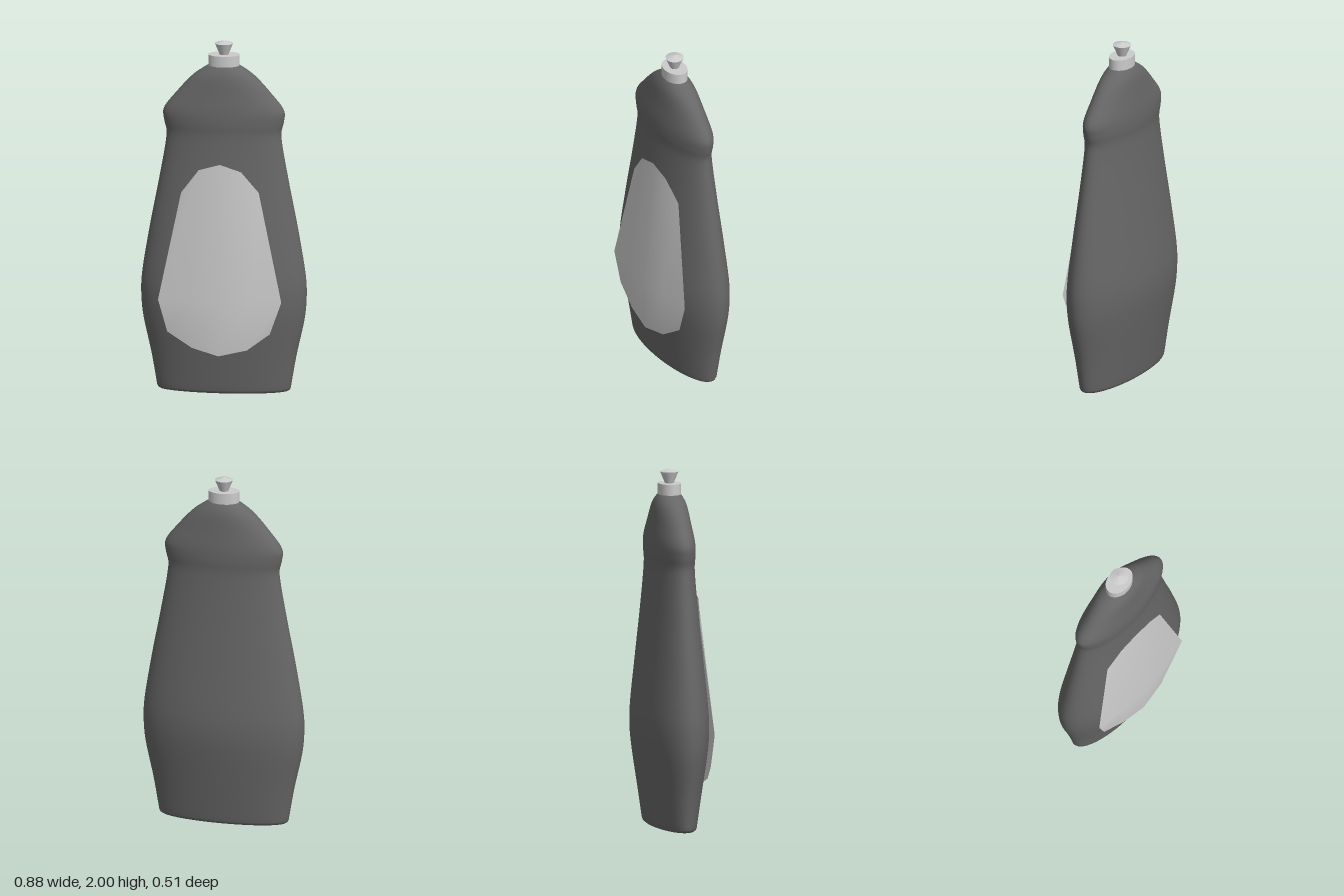
import * as THREE from 'three';
import { mergeVertices } from 'three/addons/utils/BufferGeometryUtils.js';

const TURN = 0.342;      // the bottle stands turned about its upright axis
const CENTRE_Z = -0.02;

const grey = new THREE.MeshStandardMaterial({ color: 0xcccccc });
const labelGrey = new THREE.MeshStandardMaterial({ color: 0xcccccc, side: THREE.DoubleSide });
const darkGrey = new THREE.MeshStandardMaterial({ color: 0x666666 });

function addMesh(parent, name, geometry, material) {
  const mesh = new THREE.Mesh(geometry, material);
  mesh.name = name;
  parent.add(mesh);
  return mesh;
}

// Lathe with an oval section: each ring is [long radius, height, short radius].
function ovalLathe(rings, segments) {
  const profile = rings.map(([a, y]) => new THREE.Vector2(a, y));
  const geometry = new THREE.LatheGeometry(profile, segments);
  const pos = geometry.attributes.position;
  for (let i = 0; i < pos.count; i++) {
    const [a, , b] = rings[i % rings.length];
    if (a > 0) pos.setZ(i, pos.getZ(i) * b / a);
  }
  geometry.deleteAttribute('uv');
  geometry.deleteAttribute('normal');
  const merged = mergeVertices(geometry);
  merged.computeVertexNormals();
  return merged;
}

// Bottle: smooth side curve over a flat base with a small rounded edge
function bottleGeometry() {
  const side = new THREE.CatmullRomCurve3([
    [0.374, 0.02, 0.121], [0.405, 0.2, 0.148], [0.452, 0.42, 0.18],
    [0.462, 0.52, 0.19], [0.461, 0.63, 0.19], [0.42, 0.9, 0.165],
    [0.363, 1.2, 0.136], [0.325, 1.42, 0.119], [0.321, 1.48, 0.117],
    [0.335, 1.54, 0.12], [0.338, 1.6, 0.118], [0.266, 1.7, 0.105],
    [0.174, 1.8, 0.09], [0.12, 1.84, 0.075], [0.075, 1.868, 0.056],
  ].map(p => new THREE.Vector3(...p)));
  const base = [[0, 0, 0], [0.345, 0, 0.1], [0.358, 0.002, 0.108], [0.369, 0.009, 0.117]];
  const rings = side.getPoints(84).map(p => [p.x, p.y, p.z]);
  return ovalLathe([...base, ...rings], 64);
}

// Label: a thin sheet bent round the front, three rows of five points
function labelGeometry() {
  const rows = [
    [[-0.23, 0.36, 0.228], [-0.09, 0.275, 0.2], [0.055, 0.235, 0.165], [0.2, 0.27, 0.1], [0.31, 0.36, 0.035]],
    [[-0.275, 0.545, 0.253], [-0.09, 0.55, 0.222], [0.07, 0.55, 0.18], [0.22, 0.55, 0.11], [0.375, 0.545, 0.022]],
    [[-0.175, 1.15, 0.165], [-0.075, 1.285, 0.147], [0.04, 1.32, 0.114], [0.15, 1.28, 0.071], [0.235, 1.16, 0.021]],
  ];
  const index = [];
  for (let r = 0; r < 2; r++) {
    for (let c = 0; c < 4; c++) {
      const i = r * 5 + c;
      index.push(i, i + 1, i + 6, i, i + 6, i + 5);
    }
  }
  const geometry = new THREE.BufferGeometry();
  geometry.setAttribute('position', new THREE.Float32BufferAttribute(rows.flat(2), 3));
  geometry.setIndex(index);
  geometry.computeVertexNormals();
  return geometry;
}

export function createModel() {
  const model = new THREE.Group();
  model.name = 'squeezeBottle';

  const container = new THREE.Group();
  container.name = 'container';
  container.position.z = CENTRE_Z;
  container.rotation.y = TURN;
  model.add(container);

  addMesh(container, 'bottle', bottleGeometry(), darkGrey);

  // Oval collar of the cap
  const collar = addMesh(container, 'capCollar', new THREE.CylinderGeometry(1, 1, 0.062, 40), grey);
  collar.scale.set(0.088, 1, 0.063);
  collar.position.y = 1.89;

  // Flared pull spout with a shallow pointed top
  addMesh(container, 'spout', new THREE.CylinderGeometry(0.051, 0.024, 0.065, 32, 1, true), grey)
    .position.y = 1.9525;
  addMesh(container, 'spoutTop', new THREE.ConeGeometry(0.051, 0.015, 32, 1, true), grey)
    .position.y = 1.9925;

  addMesh(model, 'frontLabel', labelGeometry(), labelGrey);
  return model;
}
